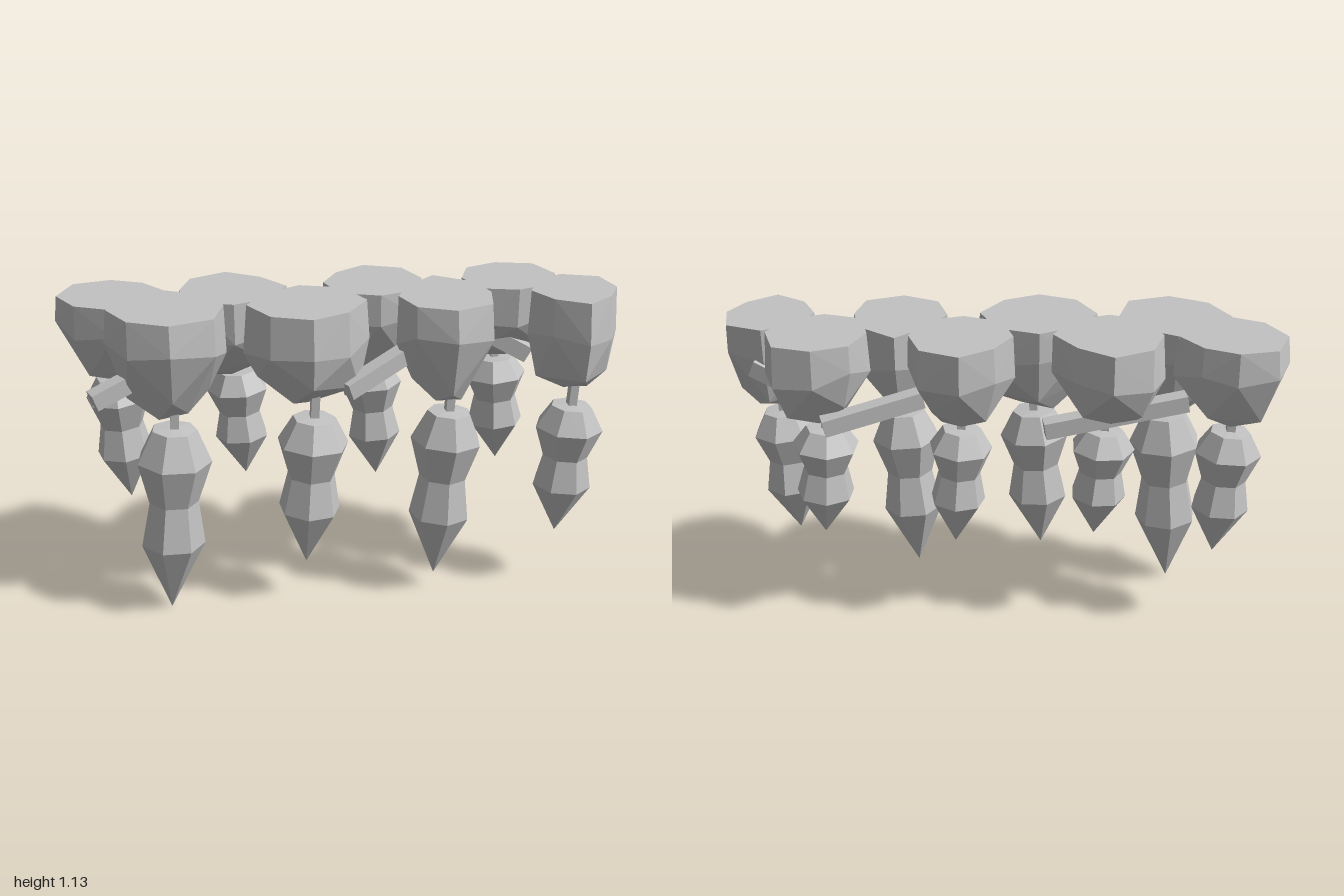
import * as THREE from 'three';
import { ConvexGeometry } from 'three/addons/geometries/ConvexGeometry.js';

const TOP = 1.135;

// Small seeded generator for the rough rock surfaces
function seeded(seed) {
  let s = seed;
  return () => {
    s = (s * 16807) % 2147483647;
    return s / 2147483647;
  };
}

// Each rock: centre x, z, lowest height, fullness of the lower half, and eight radii from +x towards +z
const rocks = [
  { x: -.8, z: -.1, low: .82, full: .74, radii: [.2, .19, .19, .18, .2, .2, .17, .17] },
  { x: -.61, z: .08, low: .75, full: .7, radii: [.2, .22, .21, .2, .22, .185, .2, .185] },
  { x: -.38, z: -.1, low: .8, full: .78, radii: [.21, .2, .2, .2, .19, .2, .21, .18] },
  { x: -.13, z: .1, low: .77, full: .85, radii: [.22, .19, .2, .2, .22, .19, .21, .22] },
  { x: .14, z: -.12, low: .8, full: .78, radii: [.19, .21, .19, .2, .19, .17, .2, .2] },
  { x: .37, z: .08, low: .76, full: .7, radii: [.17, .2, .2, .19, .18, .17, .24, .19] },
  { x: .64, z: -.1, low: .82, full: .78, radii: [.19, .18, .18, .2, .18, .18, .18, .2] },
  { x: .84, z: .09, low: .78, full: .85, radii: [.16, .15, .19, .16, .17, .17, .19, .19] },
];

// Hanging drops: x, z, top height, tip height, widest radius
const drops = [
  [-0.805, -0.16, 0.8, 0.31, 0.12], [-0.607, 0.16, 0.715, 0, 0.135],
  [-0.362, -0.16, 0.8, 0.38, 0.115], [-0.113, 0.16, 0.725, 0.15, 0.13],
  [0.142, -0.16, 0.8, 0.34, 0.115], [0.376, 0.16, 0.72, 0.06, 0.13],
  [0.622, -0.16, 0.8, 0.375, 0.12], [0.832, 0.16, 0.715, 0.205, 0.125],
];

// Sticks: start and end points
const sticks = [
  [[-.88, .84, .17], [-.5, .98, .03]],
  [[.0, .83, .18], [.3, .95, .05]],
  [[-.65, .9, -.13], [-.15, .82, -.2]],
  [[.28, .91, -.14], [.62, .84, -.24]],
  [[.5, .98, -.02], [.7, .87, .01]],
  [[.68, .9, -.1], [.88, .99, -.06]],
];

// Faceted rock, cut flat on top and drawn in towards its lowest point
function rockGeometry({ x, z, low, full, radii }, seed) {
  const rand = seeded(seed * 7919 + 13);
  const lean = Math.sign(z) * 0.12 - z;
  const points = [new THREE.Vector3(x, low, z + lean)];
  // Rings: depth, scale, roughness, keep every nth corner
  const rings = [[0, 0.98, 0.04, 1], [0.38, 1.02, 0.04, 1], [0.8, full, 0.08, 2], [0.96, full * 0.5, 0.05, 2]];
  rings.forEach(([t, scale, rough, step], r) => {
    radii.forEach((radius, i) => {
      if ((i + seed + r) % step) return;
      const k = radius * scale * (1 - rough * rand());
      const a = (i / radii.length) * Math.PI * 2;
      const depth = t === 0 ? 0 : t + (rand() - 0.5) * 0.2;
      const y = Math.max(low + 0.005, TOP - (TOP - low) * depth);
      points.push(new THREE.Vector3(x + Math.cos(a) * k, y, z + lean * t + Math.sin(a) * k));
    });
  });
  return new ConvexGeometry(points);
}

// Double-bulged drop with a pointed tip, hanging down from its origin
function dropGeometry(length, radius) {
  const profile = [[1, 0], [0.617, 0.87], [0.385, 0.67], [0.165, 1], [0, 0.6], [-0.01, 0]];
  const points = profile.map(([t, r]) => new THREE.Vector2(r * radius, -length * t));
  return new THREE.LatheGeometry(points, 7);
}

export function createModel() {
  const model = new THREE.Group();
  const stone = new THREE.MeshStandardMaterial({ color: 0xc2c2c2, flatShading: true });
  stone.name = 'stoneGrey';
  const add = (geometry, name, parent = model) => {
    const mesh = new THREE.Mesh(geometry, stone);
    mesh.name = name;
    parent.add(mesh);
    return mesh;
  };

  rocks.forEach((rock, i) => add(rockGeometry(rock, i + 1), 'rock'));

  drops.forEach(([x, z, top, tip, radius], i) => {
    // Front drops lean one way, back drops the other
    const pendant = new THREE.Group();
    pendant.name = 'pendant';
    pendant.position.set(x, top, z);
    pendant.rotation.z = z > 0 ? -0.06 : 0.06;
    model.add(pendant);
    const drop = add(dropGeometry(top - tip, radius), 'hangingDrop', pendant);
    drop.rotation.y = i * 0.55;
    // Stem that joins the drop to its rock
    const stem = add(new THREE.BoxGeometry(0.03, 0.14, 0.035), 'stem', pendant);
    stem.position.y = 0.06;
  });

  sticks.forEach(([a, b]) => {
    const start = new THREE.Vector3(...a);
    const end = new THREE.Vector3(...b);
    const stick = add(new THREE.BoxGeometry(0.06, 0.06, start.distanceTo(end)), 'stick');
    stick.position.copy(start).lerp(end, 0.5);
    stick.lookAt(end);
  });

  return model;
}
